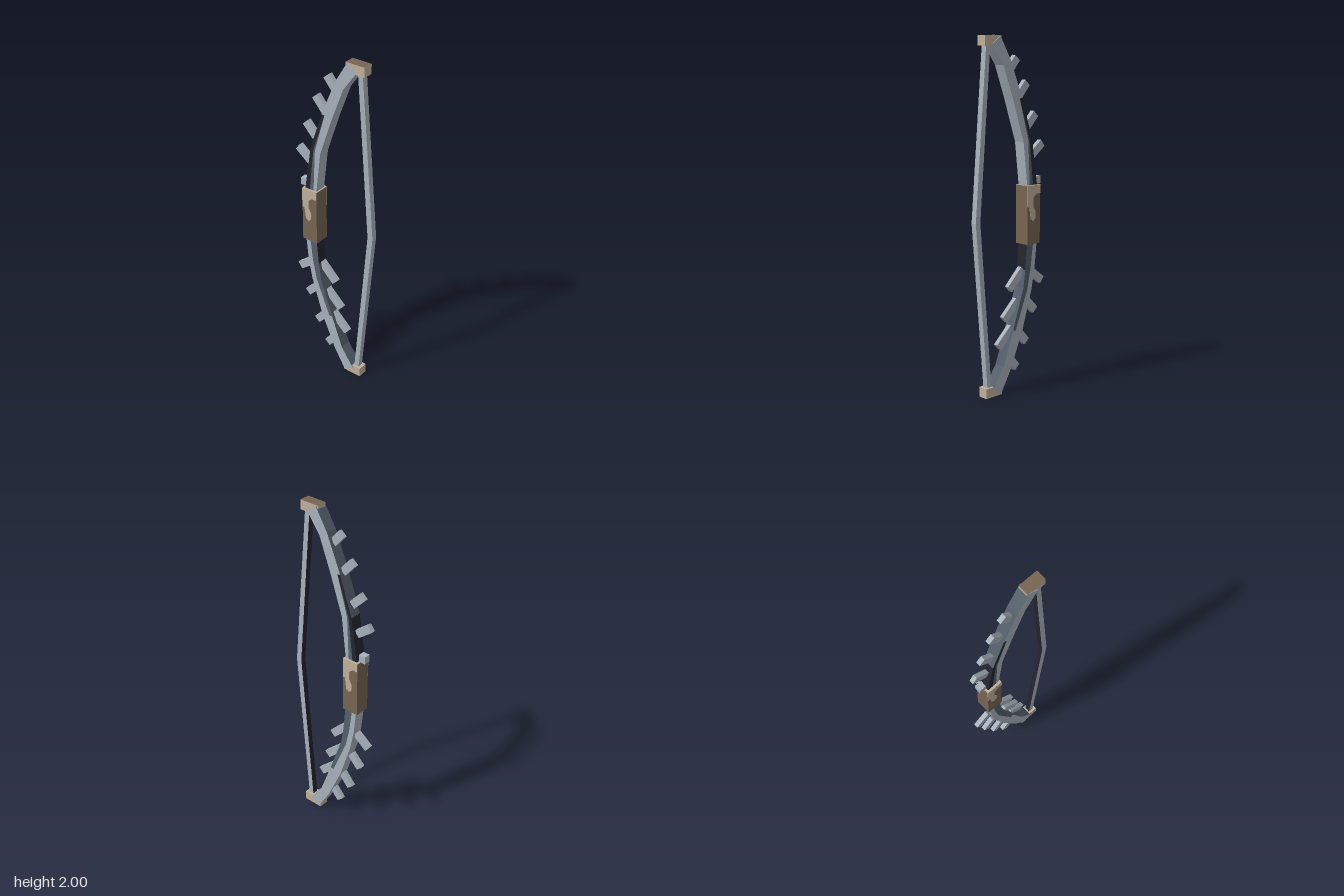
import * as THREE from 'three';

const mat = (name, color) => {
  const m = new THREE.MeshStandardMaterial({ color });
  m.name = name;
  return m;
};

export function createModel() {
  const steel = mat('light steel', 0xa8b2bc);
  const slate = mat('slate', 0x55606c);
  const dark = mat('near black', 0x23252f);
  const tan = mat('tan', 0xc0b09a);
  const brown = mat('brown', 0x786552);
  const model = new THREE.Group();

  // Adds a mesh with a plain name
  const add = (name, geo, material, parent = model) => {
    const mesh = new THREE.Mesh(geo, material);
    mesh.name = name;
    parent.add(mesh);
    return mesh;
  };

  // Box from its limits, so that parts can be placed by their edges
  const box = (name, x0, x1, y0, y1, d, material) => {
    const mesh = add(name, new THREE.BoxGeometry(x1 - x0, y1 - y0, d), material);
    mesh.position.set((x0 + x1) / 2, (y0 + y1) / 2, 0);
    return mesh;
  };

  // Bent bar of rectangular section. Stations run from top to bottom:
  // p = [outer x, y, inner x, y], cut = where the face colours change across
  // the width, face = colours across, outer / inner = colours of the edges
  function bar(name, halfDepth, stations) {
    const group = new THREE.Group();
    group.name = name;
    model.add(group);
    const faces = new Map();
    const quad = (material, a, b, c, d) => {
      if (!faces.has(material)) faces.set(material, []);
      faces.get(material).push(...a, ...b, ...c, ...a, ...c, ...d);
    };
    const point = (s, t, z) => [
      THREE.MathUtils.lerp(s.p[0], s.p[2], t),
      THREE.MathUtils.lerp(s.p[1], s.p[3], t), z];
    const h = halfDepth;
    for (let i = 0; i < stations.length - 1; i++) {
      const s = stations[i], n = stations[i + 1];
      const face = s.face || [steel];
      const count = face.length;
      const cutAt = (st, j) => j === 0 ? 0 : j === count ? 1 : st.cut[j - 1];
      face.forEach((m, j) => {
        const s0 = cutAt(s, j), s1 = cutAt(s, j + 1), n0 = cutAt(n, j), n1 = cutAt(n, j + 1);
        quad(m, point(s, s0, h), point(n, n0, h), point(n, n1, h), point(s, s1, h));
        quad(m, point(s, s1, -h), point(n, n1, -h), point(n, n0, -h), point(s, s0, -h));
      });
      quad(s.outer, point(s, 0, -h), point(n, 0, -h), point(n, 0, h), point(s, 0, h));
      quad(s.inner, point(s, 1, h), point(n, 1, h), point(n, 1, -h), point(s, 1, -h));
    }
    // Closed ends
    const a = stations[0], b = stations[stations.length - 1];
    quad(steel, point(a, 0, -h), point(a, 0, h), point(a, 1, h), point(a, 1, -h));
    quad(steel, point(b, 0, h), point(b, 0, -h), point(b, 1, -h), point(b, 1, h));
    for (const [m, values] of faces) {
      const geo = new THREE.BufferGeometry();
      geo.setAttribute('position', new THREE.Float32BufferAttribute(values, 3));
      geo.computeVertexNormals();
      add(`${name} ${m.name} faces`, geo, m, group);
    }
  }

  // Upper limb
  const upperFace = [dark, slate, steel];
  bar('upperLimb', 0.034, [
    { p: [0.095, 1.995, 0.155, 1.955], outer: slate, inner: steel },
    { p: [0.02, 1.87, 0.072, 1.84], outer: slate, inner: steel },
    { p: [-0.068, 1.66, 0, 1.65], cut: [0.28, 0.28], face: upperFace, outer: slate, inner: steel },
    { p: [-0.146, 1.43, -0.08, 1.415], cut: [0.3, 0.45], face: upperFace, outer: dark, inner: steel },
    { p: [-0.188, 1.16, -0.11, 1.16], cut: [0.4, 0.75] },
  ]);

  // Lower limb
  const lowerFace = [steel, slate];
  bar('lowerLimb', 0.034, [
    { p: [-0.186, 0.84, -0.11, 0.84], cut: [0.38], face: lowerFace, outer: steel, inner: dark },
    { p: [-0.17, 0.69, -0.096, 0.69], cut: [0.44], face: lowerFace, outer: steel, inner: slate },
    { p: [-0.146, 0.57, -0.08, 0.585], cut: [0.5], face: lowerFace, outer: steel, inner: slate },
    { p: [-0.075, 0.345, 0, 0.355], cut: [0.72], outer: steel, inner: slate },
    { p: [0.02, 0.13, 0.072, 0.16], outer: steel, inner: slate },
    { p: [0.095, 0.005, 0.155, 0.045] },
  ]);

  // Drawn string
  bar('string', 0.017, [
    { p: [0.153, 1.96, 0.183, 1.96], outer: dark, inner: steel },
    { p: [0.232, 1, 0.265, 1], outer: dark, inner: steel },
    { p: [0.153, 0.04, 0.183, 0.04] },
  ]);

  // Tip caps: tan with brown ends
  box('upperTip', 0.085, 0.203, 1.945, 2, 0.06, [tan, tan, brown, tan, tan, tan]);
  box('lowerTip', 0.085, 0.203, 0, 0.057, 0.06, [tan, tan, tan, brown, tan, tan]);

  // Grip with a worn patch on front and back
  box('grip', -0.2, -0.1, 0.835, 1.17, 0.09, [brown, brown, tan, brown, brown, brown]);
  const patch = new THREE.Shape([
    [-0.05, 0.17], [-0.05, 0.05], [-0.035, 0.05], [-0.025, -0.02], [-0.005, -0.035],
    [0.012, -0.015], [0.012, 0.02], [-0.005, 0.05], [-0.005, 0.1], [0.02, 0.12],
    [0.05, 0.12], [0.05, 0.17],
  ].map(([x, y]) => new THREE.Vector2(x, y)));
  for (const turn of [0, Math.PI]) {
    const holder = new THREE.Group();
    holder.name = turn ? 'backPatch' : 'frontPatch';
    holder.position.set(-0.15, 1, 0);
    holder.rotation.y = turn;
    model.add(holder);
    const plate = new THREE.ExtrudeGeometry(patch, { depth: 0.003, bevelEnabled: false });
    add('gripPatch', plate, tan, holder).position.z = 0.0445;
  }

  // Small sight block above the grip
  box('sight', -0.23, -0.188, 1.17, 1.213, 0.04, steel);

  // Spikes, from the limb to the tip
  function spike(name, bx, by, tx, ty) {
    const length = Math.hypot(tx - bx, ty - by);
    const mesh = add(name, new THREE.BoxGeometry(length, 0.046, 0.027), steel);
    mesh.position.set((bx + tx) / 2, (by + ty) / 2, 0);
    mesh.rotation.z = Math.atan2(ty - by, tx - bx);
  }
  // Outer spikes mirrored between both limbs
  for (const [bx, by, tx, ty] of [
    [0, 1.815, -0.053, 1.877],
    [-0.066, 1.667, -0.13, 1.74],
    [-0.13, 1.495, -0.198, 1.565],
    [-0.165, 1.33, -0.253, 1.397],
  ]) {
    spike('upperSpike', bx, by, tx, ty);
    spike('lowerSpike', bx, 2 - by, tx, 2 - ty);
  }
  // Inner spikes on the lower limb
  for (const [bx, by, tx, ty] of [
    [-0.1, 0.69, 0.003, 0.59],
    [-0.06, 0.515, 0.043, 0.42],
    [-0.015, 0.365, 0.09, 0.27],
  ]) spike('innerSpike', bx, by, tx, ty);

  return model;
}
